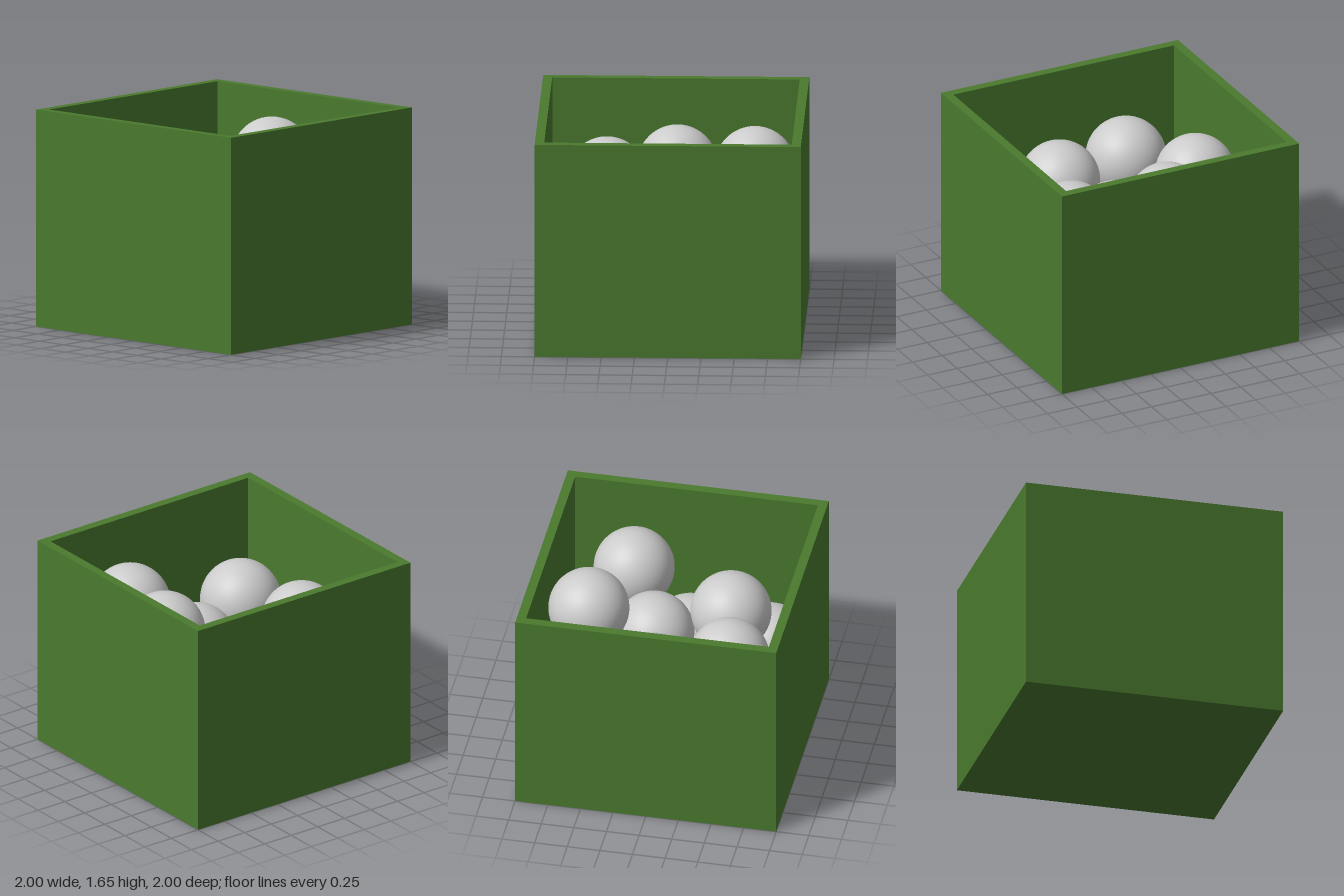
import * as THREE from 'three';

export function createModel() {
  const model = new THREE.Group();
  const green = new THREE.MeshStandardMaterial({ color: 0x4a7a2e });
  const grey = new THREE.MeshStandardMaterial({ color: 0xcccccc });

  const height = 1.65, inner = 0.93, floorTop = 0.25, radius = 0.305;
  const square = (path, h) =>
    path.moveTo(-h, -h).lineTo(h, -h).lineTo(h, h).lineTo(-h, h).closePath();

  // Upright extrusion of a square outline, from y0 to y1
  function addSlab(name, shape, y0, y1) {
    const geometry = new THREE.ExtrudeGeometry(shape, { depth: y1 - y0, bevelEnabled: false });
    geometry.rotateX(-Math.PI / 2).translate(0, y0, 0);
    const mesh = new THREE.Mesh(geometry, green);
    mesh.name = name;
    model.add(mesh);
  }

  // Open box: four walls around a thick floor
  const wallShape = square(new THREE.Shape(), 1);
  wallShape.holes.push(square(new THREE.Path(), inner));
  addSlab('boxWalls', wallShape, 0, height);
  addSlab('boxFloor', square(new THREE.Shape(), inner), 0, floorTop);

  // Balls: a layer resting on the floor, then those piled on top (x, y, z)
  const rest = floorTop + radius;
  const centres = [
    [-0.625, rest, -0.625], [-0.105, rest, -0.32], [0.62, rest, -0.15], [-0.625, rest, 0],
    [0.62, rest, 0.45], [-0.625, rest, 0.62], [-0.015, rest, 0.62],
    [0.62, 0.93, -0.625], [0.165, 0.895, 0.13], [0.02, 1.06, -0.625],
    [-0.5, 1.05, -0.305], [-0.39, 1.035, 0.31], [0.415, 1.11, 0.62], [0.62, 1.2, -0.085],
  ];
  const balls = new THREE.Group();
  balls.name = 'balls';
  const ballGeometry = new THREE.SphereGeometry(radius, 48, 32);
  centres.forEach((centre, i) => {
    const ball = new THREE.Mesh(ballGeometry, grey);
    ball.name = `ball${i + 1}`;
    ball.position.set(...centre);
    balls.add(ball);
  });
  model.add(balls);
  return model;
}
